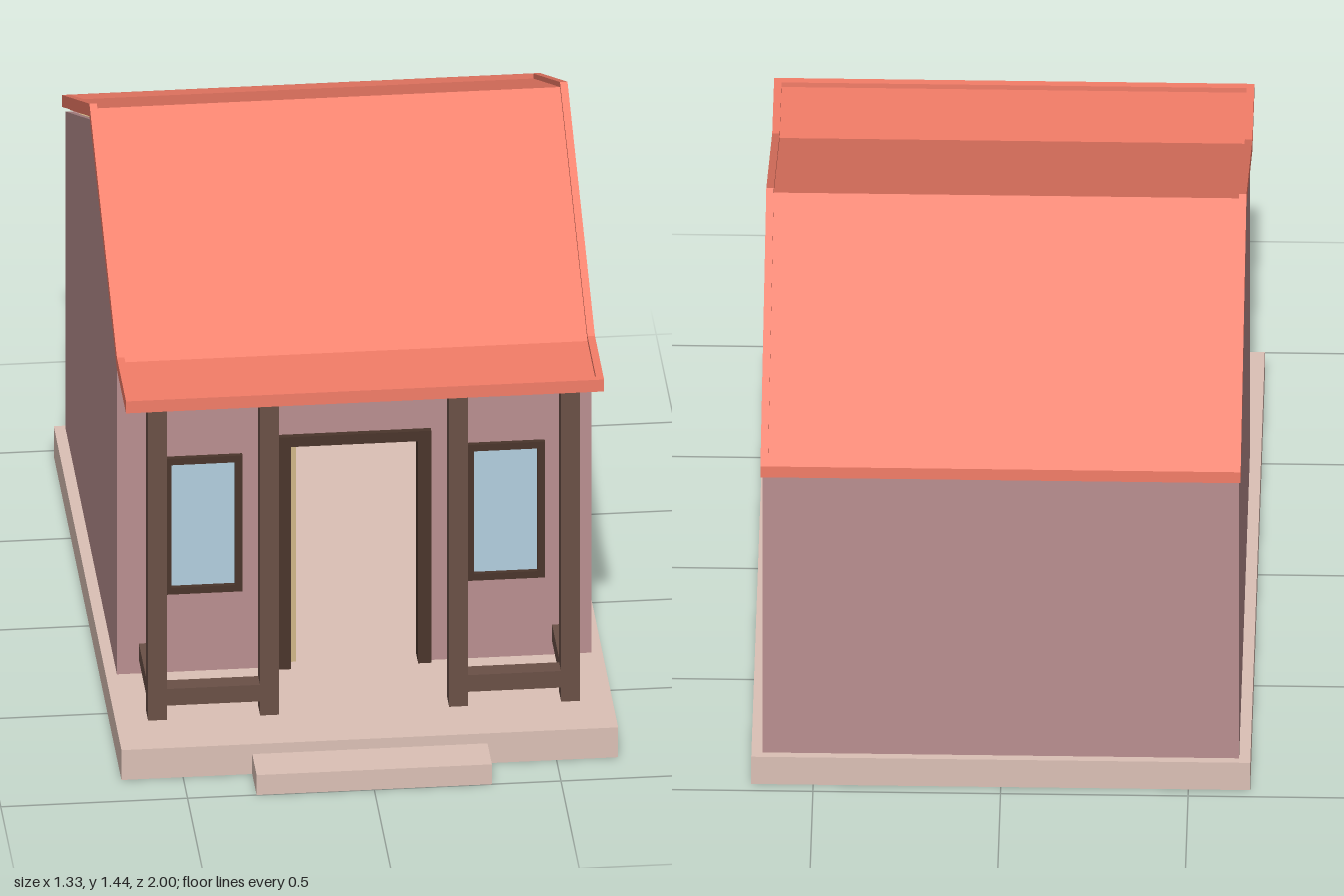
import * as THREE from 'three';

const mat = (color, side = THREE.FrontSide) => {
  const m = new THREE.MeshStandardMaterial({ side });
  m.color.set(color);
  return m;
};

export function createModel() {
  const house = new THREE.Group();
  house.name = 'house';
  const M = {
    roof: mat(0xf47d68), wall: mat(0xba8f90), lining: mat(0xd2b888),
    wood: mat(0x6a5046), frame: mat(0x4a352b), glass: mat(0xb3cfe0),
    stone: mat(0xdcc1b6, THREE.DoubleSide),
  };

  const add = (name, geometry, material) => {
    const mesh = new THREE.Mesh(geometry, material);
    mesh.name = name;
    house.add(mesh);
    return mesh;
  };
  // box given by its limits on each axis
  const box = (name, material, [x0, x1], [y0, y1], [z0, z1]) => {
    const g = new THREE.BoxGeometry(x1 - x0, y1 - y0, z1 - z0);
    g.translate((x0 + x1) / 2, (y0 + y1) / 2, (z0 + z1) / 2);
    return add(name, g, material);
  };
  const outline = (pts) => new THREE.Shape(pts.map(([a, b]) => new THREE.Vector2(a, b)));
  const rect = (x0, x1, y0, y1) => [[x0, y0], [x1, y0], [x1, y1], [x0, y1]];
  // profile in (z, y), swept between two x values
  const sweepX = (name, pts, x0, x1, material) => {
    const g = new THREE.ExtrudeGeometry(outline(pts), { depth: x1 - x0, bevelEnabled: false });
    g.translate(0, 0, -x1).rotateY(-Math.PI / 2);
    return add(name, g, material);
  };

  // hollow base and step: boxes without an underside
  const openBox = (name, ...limits) => {
    const mesh = box(name, M.stone, ...limits);
    const idx = Array.from(mesh.geometry.index.array);
    idx.splice(18, 6);
    mesh.geometry.setIndex(idx);
  };
  openBox('base', [-0.665, 0.665], [0, 0.09], [-0.97, 0.88]);
  openBox('step', [-0.315, 0.315], [0, 0.06], [0.88, 1]);

  // walls: outer skin with a lining inside
  const low = 0.055, eave = 1.048, ridge = 1.393, t = 0.015;
  const gable = [[-0.95, low], [0.45, low], [0.45, eave], [-0.25, ridge], [-0.95, eave]];
  const gableIn = [[-0.935, low], [0.435, low], [0.435, eave], [-0.25, ridge - 0.005], [-0.935, eave]];
  for (const s of [-1, 1]) {
    const span = (a, b) => (s > 0 ? [a, b] : [-b, -a]);
    sweepX('sideWall', gable, ...span(0.635 - t, 0.635), M.wall);
    sweepX('sideWallLining', gableIn, ...span(0.635 - 2 * t, 0.635 - t), M.lining);
  }
  box('backWall', M.wall, [-0.62, 0.62], [low, eave], [-0.95, -0.935]);
  box('backWallLining', M.lining, [-0.605, 0.605], [low, eave], [-0.935, -0.92]);

  // front wall is notched for the door and pierced for the windows
  const frontWall = (name, w, z, material) => {
    const shape = outline([[-w, low], [-0.18, low], [-0.18, 0.775], [0.18, 0.775],
      [0.18, low], [w, low], [w, eave], [-w, eave]]);
    for (const s of [-1, 1]) shape.holes.push(outline(rect(s * 0.405 - 0.09, s * 0.405 + 0.09, 0.345, 0.725)));
    const g = new THREE.ExtrudeGeometry(shape, { depth: t, bevelEnabled: false });
    add(name, g.translate(0, 0, z), material);
  };
  frontWall('frontWall', 0.62, 0.435, M.wall);
  frontWall('frontWallLining', 0.605, 0.42, M.lining);

  // windows
  for (const s of [-1, 1]) {
    const x = s * 0.405;
    const shape = outline(rect(x - 0.105, x + 0.105, 0.33, 0.74));
    shape.holes.push(outline(rect(x - 0.085, x + 0.085, 0.35, 0.72)));
    const g = new THREE.ExtrudeGeometry(shape, { depth: 0.055, bevelEnabled: false });
    add('windowFrame', g.translate(0, 0, 0.408), M.frame);
    box('windowPane', M.glass, [x - 0.085, x + 0.085], [0.35, 0.72], [0.425, 0.45]);
  }

  // door frame and the leaf standing open into the room
  const door = outline([[-0.205, 0.08], [-0.17, 0.08], [-0.17, 0.76], [0.17, 0.76],
    [0.17, 0.08], [0.205, 0.08], [0.205, 0.79], [-0.205, 0.79]]);
  const doorGeo = new THREE.ExtrudeGeometry(door, { depth: 0.06, bevelEnabled: false });
  add('doorFrame', doorGeo.translate(0, 0, 0.406), M.frame);
  box('doorLeaf', M.lining, [-0.17, -0.153], [0.093, 0.757], [0.1, 0.43]);

  // porch posts and low rails
  for (const s of [-1, 1]) {
    const span = (a, b) => (s > 0 ? [a, b] : [-b, -a]);
    for (const x of [0.228, 0.528]) box('post', M.wood, span(x, x + 0.05), [0.08, 1.035], [0.66, 0.72]);
    box('frontRail', M.wood, span(0.278, 0.528), [0.13, 0.18], [0.665, 0.715]);
    box('sideRail', M.wood, span(0.53, 0.576), [0.13, 0.18], [0.45, 0.66]);
  }

  // roof: a folded slab with a raised rim all round
  const roofY = (z) => (z > 0.5 ? 1.072 : 1.442 - Math.abs(z + 0.25) * (0.37 / 0.75));
  const band = (z0, z1, top, bottom) => {
    const zs = [z0, ...[-0.25, 0.5].filter((z) => z > z0 && z < z1), z1];
    return [...zs.map((z) => [z, roofY(z) - bottom]), ...zs.reverse().map((z) => [z, roofY(z) - top])];
  };
  sweepX('roofSlab', band(-0.98, 0.73, 0.015, 0.046), -0.62, 0.62, M.roof);
  sweepX('roofRimRight', band(-1, 0.75, 0, 0.036), -0.64, -0.62, M.roof);
  sweepX('roofRimLeft', band(-1, 0.75, 0, 0.036), 0.62, 0.64, M.roof);
  sweepX('roofRimFront', band(0.73, 0.75, 0, 0.036), -0.62, 0.62, M.roof);
  sweepX('roofRimBack', band(-1, -0.98, 0, 0.036), -0.62, 0.62, M.roof);

  return house;
}
